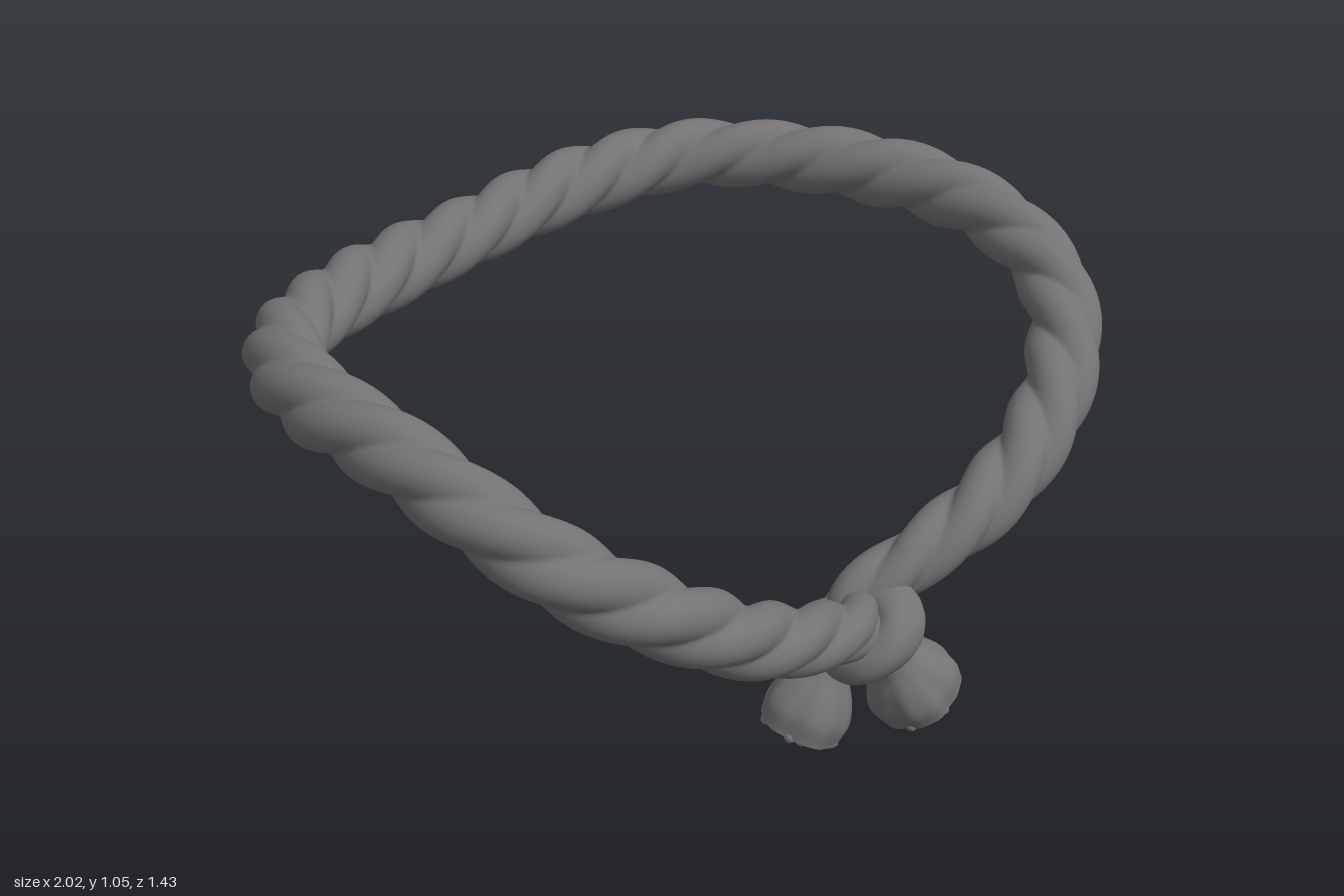
import * as THREE from 'three';

const V = (p) => new THREE.Vector3(...p);

// Sweep a cross-section radius(u, angle) along a curve
function sweep(curve, steps, sides, radius, { closed = false, cap = false } = {}) {
  const { normals, binormals } = curve.computeFrenetFrames(steps, closed);
  const pos = [], index = [];
  const ring = (i) => {
    const u = i / steps, c = curve.getPointAt(u);
    for (let j = 0; j < sides; j++) {
      const a = (j / sides) * Math.PI * 2, r = radius(u, a);
      const p = c.clone()
        .addScaledVector(normals[i], r * Math.cos(a))
        .addScaledVector(binormals[i], r * Math.sin(a));
      pos.push(p.x, p.y, p.z);
    }
  };
  for (let i = 0; i <= steps; i++) ring(i);
  for (let i = 0; i < steps; i++) {
    for (let j = 0; j < sides; j++) {
      const k = (j + 1) % sides;
      const a = i * sides + j, b = i * sides + k;
      index.push(a, b, a + sides, b, b + sides, a + sides);
    }
  }
  if (cap) {
    const start = pos.length / 3;
    ring(steps);
    pos.push(...curve.getPointAt(1).toArray());
    for (let j = 0; j < sides; j++) index.push(start + sides, start + j, start + ((j + 1) % sides));
  }
  const g = new THREE.BufferGeometry();
  g.setAttribute('position', new THREE.Float32BufferAttribute(pos, 3));
  g.setIndex(index);
  g.computeVertexNormals();
  return g;
}

// Outline of three round strands pressed together
function threeStrands(a, d, r) {
  const third = (Math.PI * 2) / 3;
  const f = a - third * Math.round(a / third);
  return d * Math.cos(f) + Math.sqrt(r * r - (d * Math.sin(f)) ** 2);
}

const smooth = THREE.MathUtils.smoothstep;

export function createModel() {
  const group = new THREE.Group();
  const ropeGrey = new THREE.MeshStandardMaterial({ color: 0x747272 });
  ropeGrey.name = 'rope grey';
  const add = (name, geometry, parent = group) => {
    const m = new THREE.Mesh(geometry, ropeGrey);
    m.name = name;
    parent.add(m);
    return m;
  };

  // Main loop, from the knot round the right side, the back and the left side
  const path = new THREE.CatmullRomCurve3([
    [0.05, 0.27, 0.57], [0, 0.33, 0.57], [-0.1, 0.365, 0.6], [-0.25, 0.415, 0.612],
    [-0.4, 0.475, 0.61], [-0.6, 0.595, 0.58], [-0.78, 0.725, 0.48], [-0.88, 0.84, 0.33],
    [-0.912, 0.92, 0.1], [-0.91, 0.945, -0.1], [-0.86, 0.95, -0.27], [-0.74, 0.94, -0.42],
    [-0.55, 0.925, -0.53], [-0.28, 0.915, -0.605], [0, 0.925, -0.63], [0.2, 0.94, -0.635],
    [0.4, 0.955, -0.61], [0.6, 0.97, -0.53], [0.75, 0.968, -0.38], [0.86, 0.958, -0.18],
    [0.917, 0.94, 0], [0.922, 0.905, 0.2], [0.88, 0.825, 0.39], [0.75, 0.72, 0.53],
    [0.55, 0.605, 0.61], [0.35, 0.51, 0.62], [0.15, 0.42, 0.57], [0.04, 0.36, 0.52],
    [0, 0.28, 0.5],
  ].map(V));
  const turns = path.getLength() / 0.54;
  add('twistedRope', sweep(path, 640, 42, (u, a) => {
    const nearEnd = Math.min(u, 1 - u);
    const size = 0.74 + 0.26 * smooth(nearEnd, 0.01, 0.1) + 0.025 * Math.sin(u * 47);
    return size * threeStrands(a + u * turns * Math.PI * 2, 0.03, 0.058);
  }));

  // Knot: a tilted turn of rope round the crossing, and smaller turns behind
  const turn = (name, center, across, depth, tilt, thick) => {
    const pts = [];
    for (let i = 0; i < 12; i++) {
      const a = (i / 12) * Math.PI * 2 - Math.PI / 2;
      const x = Math.cos(a) * across;
      pts.push([center[0] + x, center[1] + x * tilt, center[2] + Math.sin(a) * depth]);
    }
    const ringPath = new THREE.CatmullRomCurve3(pts.map(V), true);
    add(name, sweep(ringPath, 80, 24,
      (u, a) => thick * (1 + 0.06 * Math.cos(3 * (a + u * Math.PI * 2))), { closed: true }));
  };
  turn('knotTurn', [0.003, 0.315, 0.58], 0.062, 0.066, 0.65, 0.057);
  turn('knotBackTurn', [0.005, 0.315, 0.51], 0.04, 0.03, -0.4, 0.036);
  turn('knotLowerTurn', [0.0, 0.25, 0.51], 0.034, 0.032, -0.4, 0.03);

  // Flared, frayed rope ends
  const profile = new THREE.SplineCurve([
    [0, 0.045], [0.25, 0.043], [0.48, 0.06], [0.72, 0.09], [0.9, 0.107], [1, 0.101],
  ].map((p) => new THREE.Vector2(...p)));
  const frayedEnd = (name, points, scale) => {
    const end = new THREE.Group();
    end.name = name;
    group.add(end);
    const curve = new THREE.CatmullRomCurve3(points.map(V));
    add('flare', sweep(curve, 36, 60, (u, a) => {
      const pleats = 0.03 * Math.sin(5 * a + 2 * u) + 0.015 * Math.sin(11 * a + 1);
      return scale * profile.getPoint(u).y * (1 + pleats * smooth(u, 0.1, 0.8));
    }, { cap: true }), end);

    // Fibre tips spread in a spiral over the cut face
    const tips = new THREE.Group();
    tips.name = 'fibreTips';
    tips.position.copy(curve.getPointAt(1));
    tips.quaternion.setFromUnitVectors(new THREE.Vector3(0, 0, 1), curve.getTangentAt(1));
    end.add(tips);
    const tipShape = new THREE.SphereGeometry(0.013, 10, 8);
    const count = 40;
    for (let i = 0; i < count; i++) {
      const r = 0.094 * scale * Math.sqrt((i + 0.5) / count), a = i * 2.39996;
      const tip = add('fibreTip', tipShape, tips);
      tip.position.set(r * Math.cos(a), r * Math.sin(a), 0.004 * Math.sin(i * 4.7) - 0.004);
    }
  };
  frayedEnd('frontRopeEnd', [[0.04, 0.28, 0.57], [0.087, 0.215, 0.585], [0.164, 0.092, 0.606]], 1);
  frayedEnd('backRopeEnd', [[0, 0.29, 0.505], [-0.025, 0.2, 0.492], [-0.083, 0.052, 0.464]], 0.92);

  return group;
}
